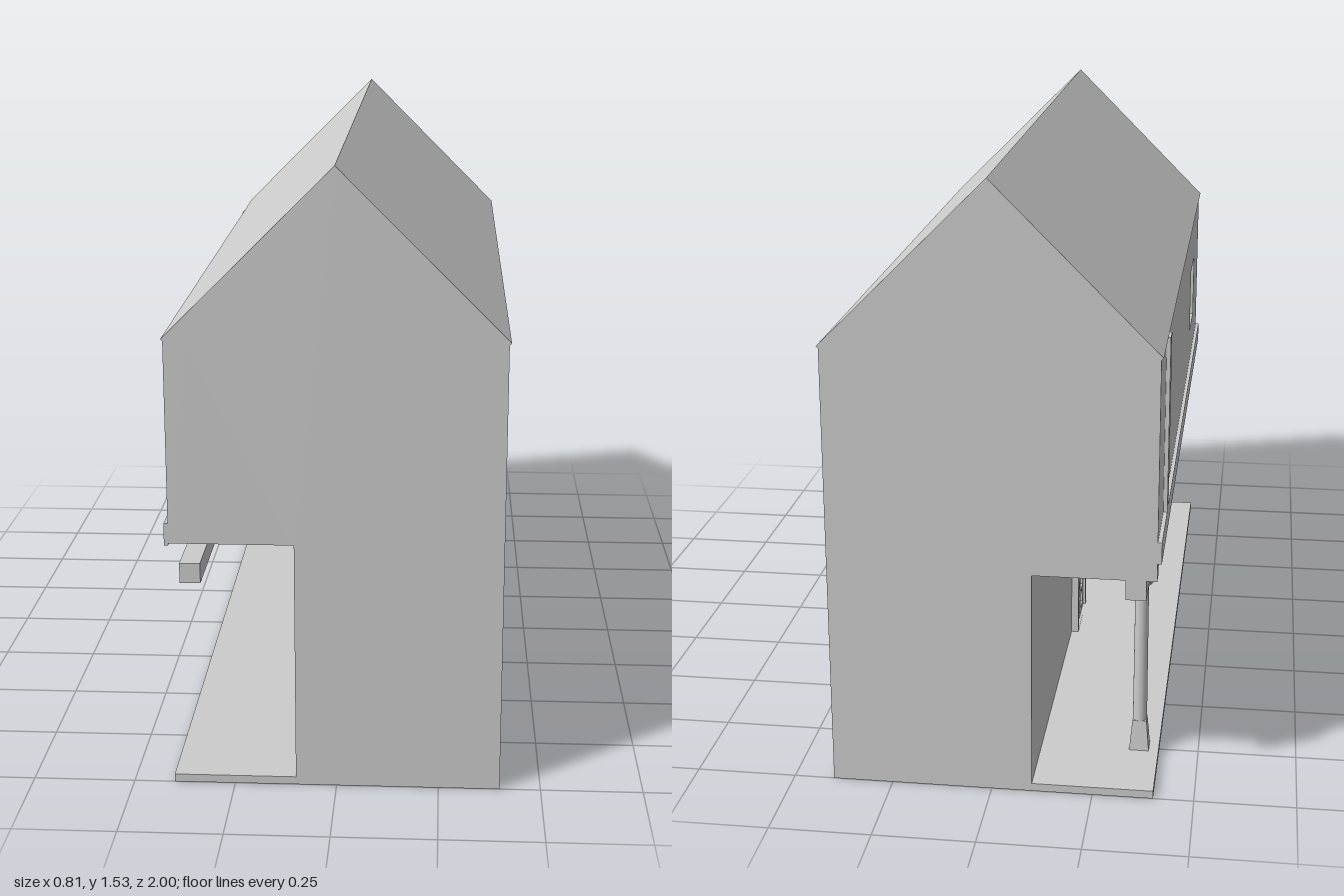
import * as THREE from 'three';

const grey = new THREE.MeshStandardMaterial({ color: 0xcccccc });
grey.name = 'plain grey';

export function createModel() {
  const model = new THREE.Group();
  model.name = 'house';

  const add = (name, geometry, x = 0, y = 0, z = 0, parent = model) => {
    const mesh = new THREE.Mesh(geometry, grey);
    mesh.name = name;
    mesh.position.set(x, y, z);
    parent.add(mesh);
    return mesh;
  };
  // Box given by its minimum and maximum corners
  const box = (name, [x0, y0, z0], [x1, y1, z1]) =>
    add(name, new THREE.BoxGeometry(x1 - x0, y1 - y0, z1 - z0),
      (x0 + x1) / 2, (y0 + y1) / 2, (z0 + z1) / 2);
  // Cross-section in x and y, run along the whole length of the house
  const run = (name, points) => {
    const shape = new THREE.Shape(points.map(([x, y]) => new THREE.Vector2(x, y)));
    return add(name, new THREE.ExtrudeGeometry(shape, { depth: 2, bevelEnabled: false }), 0, 0, -1);
  };
  // Rectangle in z and y with rectangular openings, built outwards (-x) from a plane
  const rect = (path, z0, y0, z1, y1) =>
    path.moveTo(z0, y0).lineTo(z1, y0).lineTo(z1, y1).lineTo(z0, y1).closePath();
  const panel = (name, x, depth, outline, openings) => {
    const shape = rect(new THREE.Shape(), ...outline);
    shape.holes = openings.map((o) => rect(new THREE.Path(), ...o));
    const geometry = new THREE.ExtrudeGeometry(shape, { depth, bevelEnabled: false });
    geometry.rotateY(-Math.PI / 2);
    return add(name, geometry, x);
  };

  // Main volume with the overhanging upper floor
  box('floorSlab', [-0.4, 0, -1], [0.4, 0.02, 1]);
  run('houseBody', [[-0.1, 0.02], [0.4, 0.02], [0.4, 1.125], [0, 1.525], [-0.4, 1.125],
    [-0.35, 1.125], [-0.35, 0.625], [-0.1, 0.625]]);
  run('roof', [[-0.4, 1.12], [0, 1.52], [0.4, 1.12], [0.405, 1.125], [0, 1.53], [-0.405, 1.125]]);

  // Upper wall with its recessed window
  panel('upperWall', -0.35, 0.05, [-1, 0.625, 1, 1.125], [[0.52, 0.78, 0.73, 0.97]]);
  box('wallSill', [-0.41, 0.62, -1], [-0.4, 0.675, 1]);
  box('wallPost', [-0.41, 0.675, -0.8], [-0.4, 1.12, -0.75]);

  // Timbers under the overhang
  box('crossJoist', [-0.4, 0.575, -1], [-0.1, 0.625, -0.95]);
  box('porchBeam', [-0.375, 0.525, -1], [-0.325, 0.575, 1]);

  // Porch column: square foot, tapered shaft, flared capital, square block
  const column = new THREE.Group();
  column.name = 'porchColumn';
  column.position.set(-0.35, 0, -0.775);
  model.add(column);
  const squareFrustum = (top, bottom, height) =>
    new THREE.CylinderGeometry(top * Math.SQRT1_2, bottom * Math.SQRT1_2, height, 4, 1)
      .rotateY(Math.PI / 4).toNonIndexed();
  const foot = squareFrustum(0.036, 0.05, 0.08);
  foot.computeVertexNormals();
  add('columnFoot', foot, 0, 0.06, 0, column);
  add('columnShaft', new THREE.CylinderGeometry(0.017, 0.018, 0.375, 24), 0, 0.2875, 0, column);
  add('capitalFlare', new THREE.CylinderGeometry(0.039, 0.02, 0.02, 24), 0, 0.48, 0, column);
  add('capitalRim', new THREE.CylinderGeometry(0.039, 0.039, 0.01, 24), 0, 0.495, 0, column);
  add('capitalBlock', new THREE.BoxGeometry(0.05, 0.025, 0.05), 0, 0.5125, 0, column);

  // Door: surround and a leaf with two columns of four sunken panels
  panel('doorFrame', -0.1, 0.02, [-0.11, 0.02, 0.11, 0.285], [[-0.09, 0.021, 0.09, 0.265]]);
  const sunken = [];
  for (let row = 0; row < 4; row++) {
    for (const z of [-0.075, 0.01]) {
      const y = 0.037 + row * 0.056;
      sunken.push([z, y, z + 0.065, y + 0.042]);
    }
  }
  panel('doorLeaf', -0.1, 0.013, [-0.09, 0.021, 0.09, 0.265], sunken);

  return model;
}
